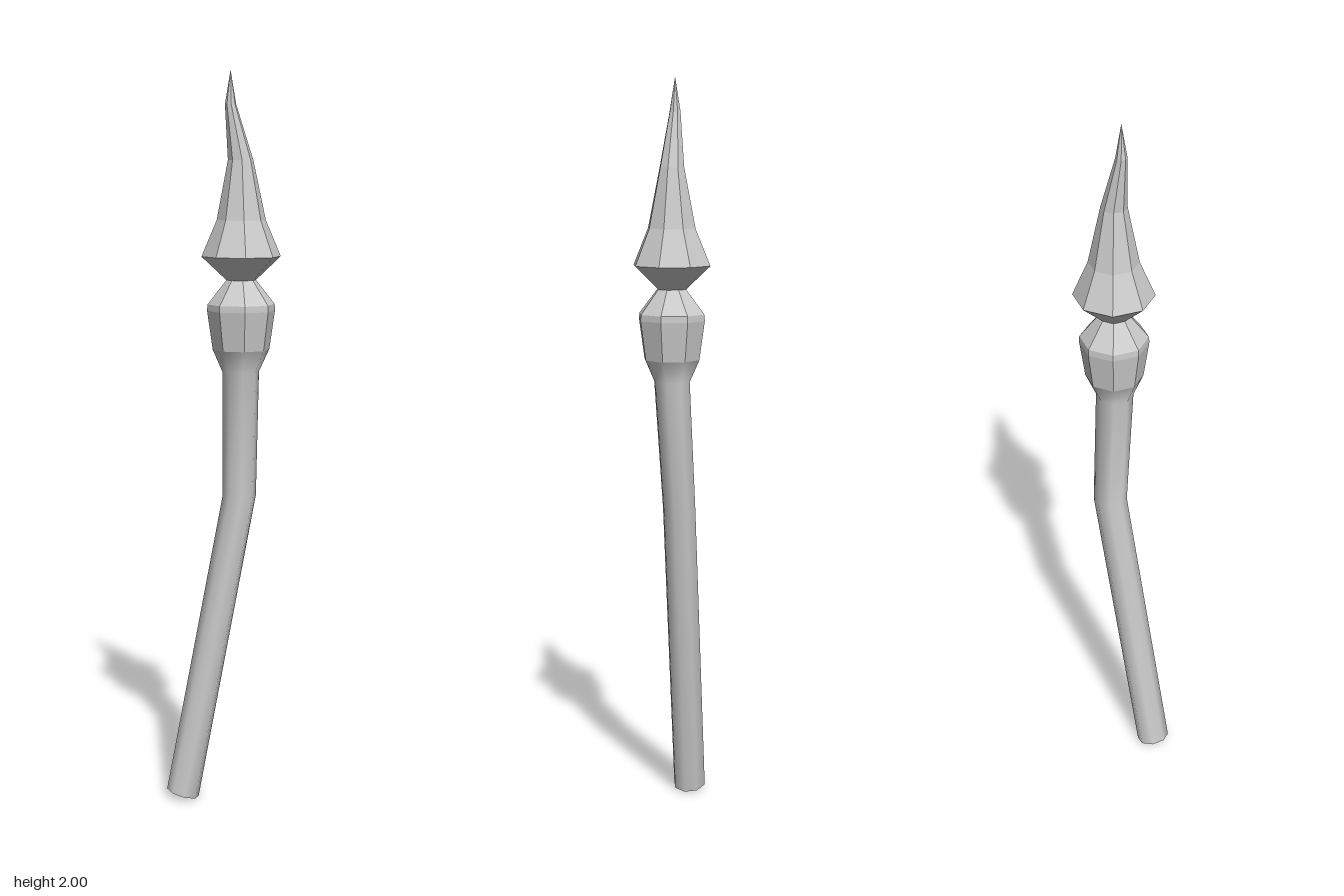
import * as THREE from 'three';

const SIDES = 8;

// Skin a stack of octagonal rings [x, y, z, radius, tilt in the xy plane], bottom to top.
function loft(name, rings, { flat = false, cap = false } = {}) {
  const positions = [], index = [];
  const addRing = ([x, y, z, r, tilt = 0]) => {
    for (let i = 0; i < SIDES; i++) {
      const a = (i / SIDES) * Math.PI * 2, u = Math.cos(a) * r;
      positions.push(x + u * Math.cos(tilt), y - u * Math.sin(tilt), z + Math.sin(a) * r);
    }
  };
  rings.forEach(addRing);
  for (let k = 0; k < rings.length - 1; k++) {
    for (let i = 0; i < SIDES; i++) {
      const j = (i + 1) % SIDES, lo = k * SIDES, up = lo + SIDES;
      index.push(lo + i, up + i, lo + j);
      if (rings[k + 1][3] > 0) index.push(lo + j, up + i, up + j);
    }
  }
  // bottom cap on its own vertices, so its rim stays sharp
  if (cap) {
    const start = positions.length / 3;
    addRing(rings[0]);
    for (let i = 1; i < SIDES - 1; i++) index.push(start, start + i, start + i + 1);
  }
  let geometry = new THREE.BufferGeometry();
  geometry.setAttribute('position', new THREE.Float32BufferAttribute(positions, 3));
  geometry.setIndex(index);
  if (flat) geometry = geometry.toNonIndexed();
  geometry.computeVertexNormals();
  const mesh = new THREE.Mesh(geometry,
    new THREE.MeshStandardMaterial({ color: 0xcccccc, flatShading: flat }));
  mesh.name = name;
  return mesh;
}

export function createModel() {
  const model = new THREE.Group();
  model.name = 'spear';
  const cx = 0.049;

  // bent handle, flaring into the collar
  model.add(loft('shaft', [
    [-0.113, 0.014, 0, 0.046, 0.27],
    [0.047, 0.855, -0.02, 0.046],
    [0.048, 1.2, 0, 0.05],
    [cx, 1.26, 0, 0.077],
  ], { cap: true }));

  // faceted collar narrowing to the neck
  model.add(loft('collar', [
    [cx, 1.26, 0, 0.077],
    [cx, 1.365, 0, 0.092],
    [cx, 1.382, 0, 0.091],
    [cx, 1.447, 0, 0.04],
  ], { flat: true }));

  // faceted head with a bent tip
  model.add(loft('head', [
    [cx, 1.447, 0, 0.04],
    [cx, 1.51, 0, 0.107],
    [cx, 1.607, 0, 0.066],
    [0.047, 1.765, 0, 0.034],
    [0.02, 1.91, 0, 0.015],
    [0.02, 2, 0, 0],
  ], { flat: true }));

  return model;
}
